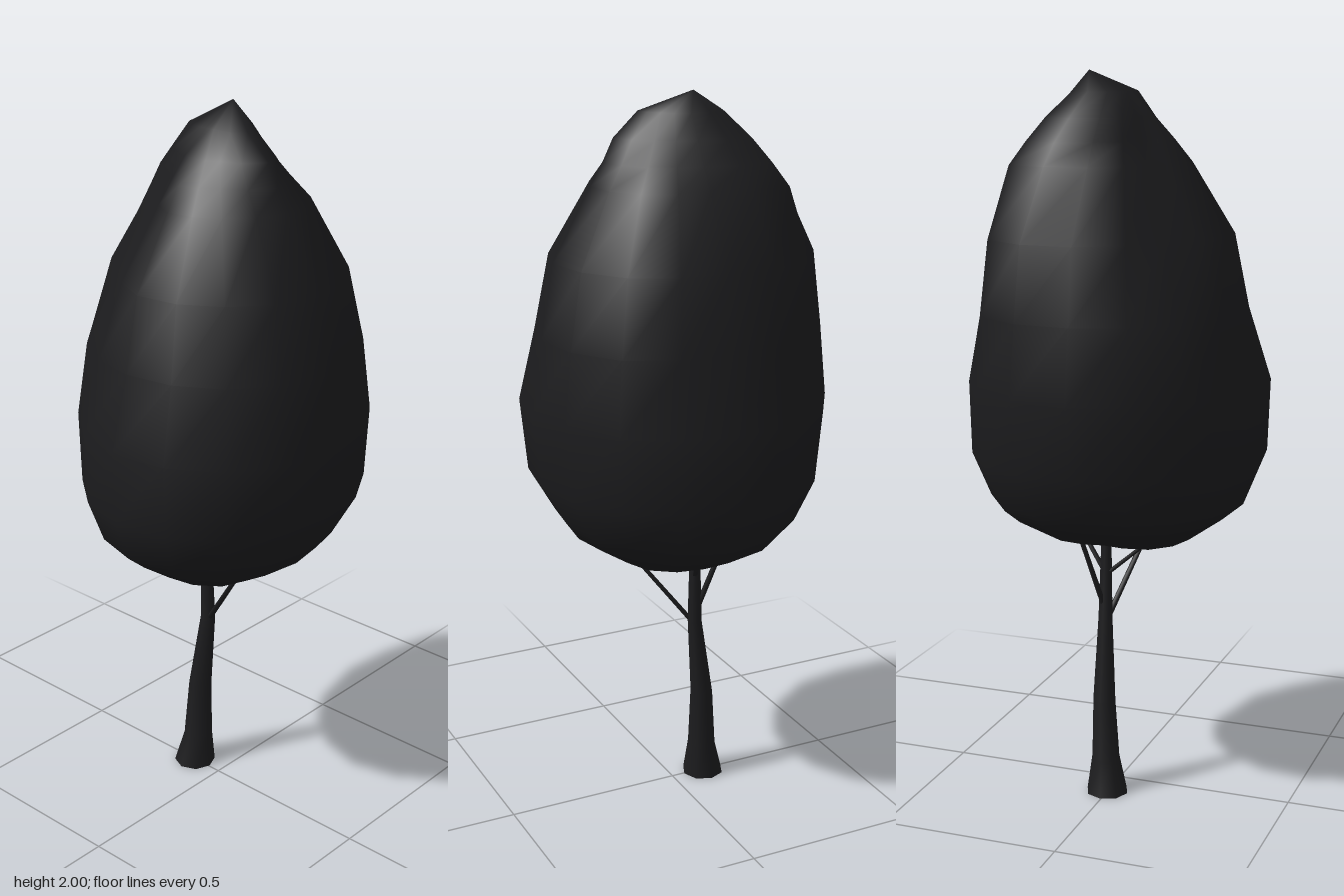
import * as THREE from 'three';

const SIDES = 16;
const material = () => new THREE.MeshStandardMaterial({ color: 0x1c1c1e });

// Skins closed rings of points (bottom to top), capping both ends to a centre point.
function loft(rings, bottom, top) {
  const n = rings[0].length;
  const points = [...rings.flat(), bottom, top];
  const base = n * rings.length, tip = base + 1, last = base - n;
  const index = [];
  for (let i = 0; i < n; i++) {
    const k = (i + 1) % n;
    for (let j = 0; j < rings.length - 1; j++) {
      const a = j * n + i, b = j * n + k;
      index.push(a, a + n, b, b, a + n, b + n);
    }
    index.push(base, i, k, tip, last + k, last + i);
  }
  const g = new THREE.BufferGeometry().setFromPoints(points);
  g.setIndex(index);
  g.computeVertexNormals();
  return g;
}

// Tapered limb through stations [x, y, z, radius].
function limb(stations, sides) {
  const ring = ([x, y, z, r]) => Array.from({ length: sides }, (_, i) => {
    const a = (i / sides) * Math.PI * 2;
    return new THREE.Vector3(x + r * Math.cos(a), y, z + r * Math.sin(a));
  });
  const rings = stations.map(ring);
  rings.unshift(ring(stations[0])); // doubled base ring keeps the foot sharp
  const centre = ([x, y, z]) => new THREE.Vector3(x, y, z);
  return loft(rings, centre(stations[0]), centre(stations[stations.length - 1]));
}

// Smooth radius around a ring given eight compass radii.
function radiusAt(radii, t) {
  const i = Math.floor(t), f = t - i;
  const r = (k) => radii[(i + k + 8) % 8];
  const [p, a, b, q] = [r(-1), r(0), r(1), r(2)];
  return a + 0.5 * f * (b - p + f * (2 * p - 5 * a + 4 * b - q + f * (3 * (a - b) + q - p)));
}

export function createModel() {
  const tree = new THREE.Group();
  tree.name = 'tree';
  const add = (name, geometry) => {
    const mesh = new THREE.Mesh(geometry, material());
    mesh.name = name;
    tree.add(mesh);
  };

  // Crown: height, then radii from +x through +z, -x and -z
  const layers = [
    [0.733, 0.20, 0.20, 0.17, 0.20, 0.20, 0.18, 0.13, 0.18],
    [0.80, 0.335, 0.295, 0.285, 0.30, 0.295, 0.285, 0.28, 0.30],
    [0.85, 0.36, 0.34, 0.32, 0.34, 0.355, 0.33, 0.33, 0.35],
    [0.97, 0.408, 0.405, 0.387, 0.41, 0.40, 0.375, 0.382, 0.405],
    [1.17, 0.403, 0.415, 0.413, 0.42, 0.405, 0.38, 0.41, 0.423],
    [1.37, 0.345, 0.39, 0.38, 0.36, 0.345, 0.35, 0.385, 0.405],
    [1.57, 0.315, 0.345, 0.343, 0.315, 0.303, 0.26, 0.355, 0.38],
    [1.76, 0.215, 0.24, 0.235, 0.20, 0.188, 0.16, 0.24, 0.318],
    [1.82, 0.18, 0.185, 0.20, 0.145, 0.15, 0.125, 0.205, 0.27],
    [1.88, 0.145, 0.135, 0.17, 0.10, 0.095, 0.10, 0.155, 0.215],
    [1.945, 0.11, 0.09, 0.10, 0.04, 0.03, 0.045, 0.10, 0.14],
  ];
  const crownRings = layers.map(([y, ...radii]) => Array.from({ length: SIDES }, (_, i) => {
    const a = (i / SIDES) * Math.PI * 2;
    const r = radiusAt(radii, (i / SIDES) * 8);
    return new THREE.Vector3(r * Math.cos(a), y, r * Math.sin(a));
  }));
  add('crown', loft(crownRings, new THREE.Vector3(0, 0.733, 0), new THREE.Vector3(0.08, 2, -0.02)));

  // Trunk: flared foot, leaning slightly forward into the crown
  add('trunk', limb([
    [0.003, 0, -0.098, 0.06],
    [0.01, 0.1, -0.09, 0.041],
    [0.016, 0.27, -0.086, 0.033],
    [0.022, 0.5, -0.06, 0.021],
    [0.018, 0.73, -0.062, 0.015],
    [0.018, 1.0, -0.06, 0.008],
  ], 8));

  // Branches: start and the point where each enters the crown
  const branches = [
    [[0.018, 0.50, -0.05], [-0.05, 0.74, 0.13]],
    [[0.022, 0.53, -0.065], [0.065, 0.74, -0.13]],
    [[0.018, 0.63, -0.06], [-0.11, 0.74, -0.075]],
    [[0.02, 0.63, -0.06], [0.10, 0.74, -0.035]],
  ];
  branches.forEach(([from, to], i) => {
    const end = from.map((v, k) => v + (to[k] - v) * 1.3);
    add(`branch${i + 1}`, limb([[...from, 0.009], [...end, 0.007]], 6));
  });

  return tree;
}
